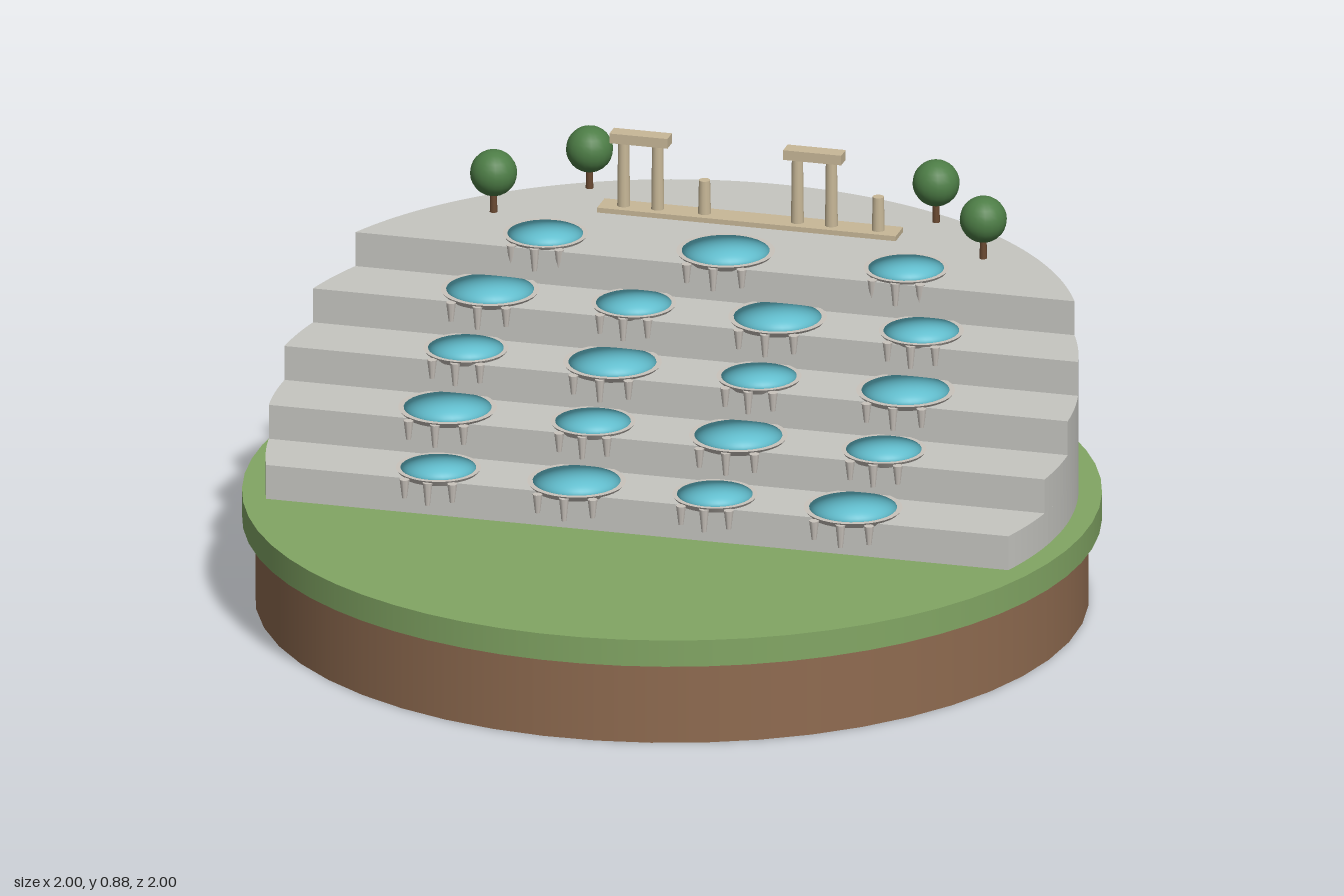
import * as THREE from 'three';

const mat = (name, color) => new THREE.MeshStandardMaterial({ name, color });

export function createModel() {
  const soil = mat('soil', 0x8f6b50);
  const grass = mat('grass', 0x82a664);
  const stone = mat('terraceStone', 0xc6c6c1);
  const rimStone = mat('rimStone', 0xcac4bd);
  const water = mat('water', 0x63bfcf);
  const marble = mat('ruinStone', 0xc8b898);
  const bark = mat('bark', 0x6b4a32);
  const leaf = mat('leaf', 0x4d7d46);

  const model = new THREE.Group();
  model.name = 'terracedPools';
  const add = (parent, name, geo, material, x = 0, y = 0, z = 0) => {
    const m = new THREE.Mesh(geo, material);
    m.name = name;
    m.position.set(x, y, z);
    parent.add(m);
    return m;
  };

  // round island base
  add(model, 'soilBase', new THREE.CylinderGeometry(0.97, 0.97, 0.2, 48), soil, 0, 0.1, 0);
  add(model, 'grassDisc', new THREE.CylinderGeometry(1, 1, 0.065, 64), grass, 0, 0.2325, 0);

  // everything on the hillside is turned by twenty degrees
  const hill = new THREE.Group();
  hill.name = 'hillside';
  hill.rotation.y = -Math.PI / 9;
  model.add(hill);

  const R = 0.945, BASE = 0.265, STEP = 0.084;

  // terraces: circle segments, each cut further back
  for (let i = 0; i < 5; i++) {
    const edge = 0.304 - 0.17 * i;
    const a = Math.asin(-edge / R);
    const shape = new THREE.Shape();
    shape.absarc(0, 0, R, a, Math.PI - a, false);
    const geo = new THREE.ExtrudeGeometry(shape, { depth: STEP, bevelEnabled: false, curveSegments: 64 });
    geo.rotateX(-Math.PI / 2);
    add(hill, 'terrace', geo, stone, 0, BASE + STEP * i, 0);
  }

  // shallow water cushion: a flattened dome that keeps its rounded shading
  const waterGeo = new THREE.SphereGeometry(1, 32, 10, 0, Math.PI * 2, 0, Math.PI / 2);
  const pos = waterGeo.attributes.position;
  for (let i = 0; i < pos.count; i++) pos.setY(i, pos.getY(i) * 0.004);

  // one pool: rim dish, water and hanging drips at the front
  const addPool = (x, y, z, r) => {
    const pool = new THREE.Group();
    pool.name = 'pool';
    pool.position.set(x, y, z);
    hill.add(pool);
    add(pool, 'rim', new THREE.CylinderGeometry(r, r * 0.9, 0.014, 32), rimStone);
    const g = waterGeo.clone();
    for (let i = 0, p = g.attributes.position; i < p.count; i++) {
      p.setXYZ(i, p.getX(i) * r * 0.89, p.getY(i), p.getZ(i) * r * 0.89);
    }
    add(pool, 'water', g, water, 0, 0.0072, 0);
    for (const k of [-1, 0, 1]) {
      const len = k ? 0.046 : 0.056;
      const d = k ? r + 0.006 : r - 0.004;
      const a = k * 0.58;
      add(pool, 'drip', new THREE.CylinderGeometry(0.012, 0.006, len, 8), rimStone,
        Math.sin(a) * d, 0.003 - len / 2, Math.cos(a) * d);
    }
  };

  // pool rows, big and small alternating
  [[4, 0.5], [4, 0.526], [4, 0.53], [4, 0.52], [3, 0.435]].forEach(([n, spread], row) => {
    for (let c = 0; c < n; c++) {
      const x = -spread + (2 * spread * c) / (n - 1);
      addPool(x, BASE + STEP * (row + 1), 0.23 - 0.175 * row, (row + c) % 2 ? 0.115 : 0.099);
    }
  });

  // ruined colonnade on the top terrace
  const top = BASE + STEP * 5;
  const ruins = new THREE.Group();
  ruins.name = 'ruins';
  ruins.position.set(0, top, -0.684);
  hill.add(ruins);
  add(ruins, 'plinth', new THREE.BoxGeometry(0.72, 0.012, 0.065), marble, 0, 0.006, 0);
  const column = (x, h) =>
    add(ruins, 'column', new THREE.CylinderGeometry(0.0135, 0.0155, h, 12), marble, x, 0.012 + h / 2, 0);
  for (const x of [-0.264, 0.155]) {
    column(x - 0.041, 0.16);
    column(x + 0.041, 0.16);
    column(x + 0.154, 0.082);
    add(ruins, 'lintel', new THREE.BoxGeometry(0.14, 0.024, 0.04), marble, x, 0.182, 0);
  }

  // trees
  for (const [x, z] of [[-0.355, -0.76], [-0.12, -0.9], [0.665, -0.61], [0.755, -0.36]]) {
    const tree = new THREE.Group();
    tree.name = 'tree';
    tree.position.set(x, top, z);
    model.add(tree);
    add(tree, 'trunk', new THREE.CylinderGeometry(0.007, 0.009, 0.07, 8), bark, 0, 0.035, 0);
    add(tree, 'crown', new THREE.SphereGeometry(0.055, 20, 14), leaf, 0, 0.097, 0);
  }

  return model;
}
